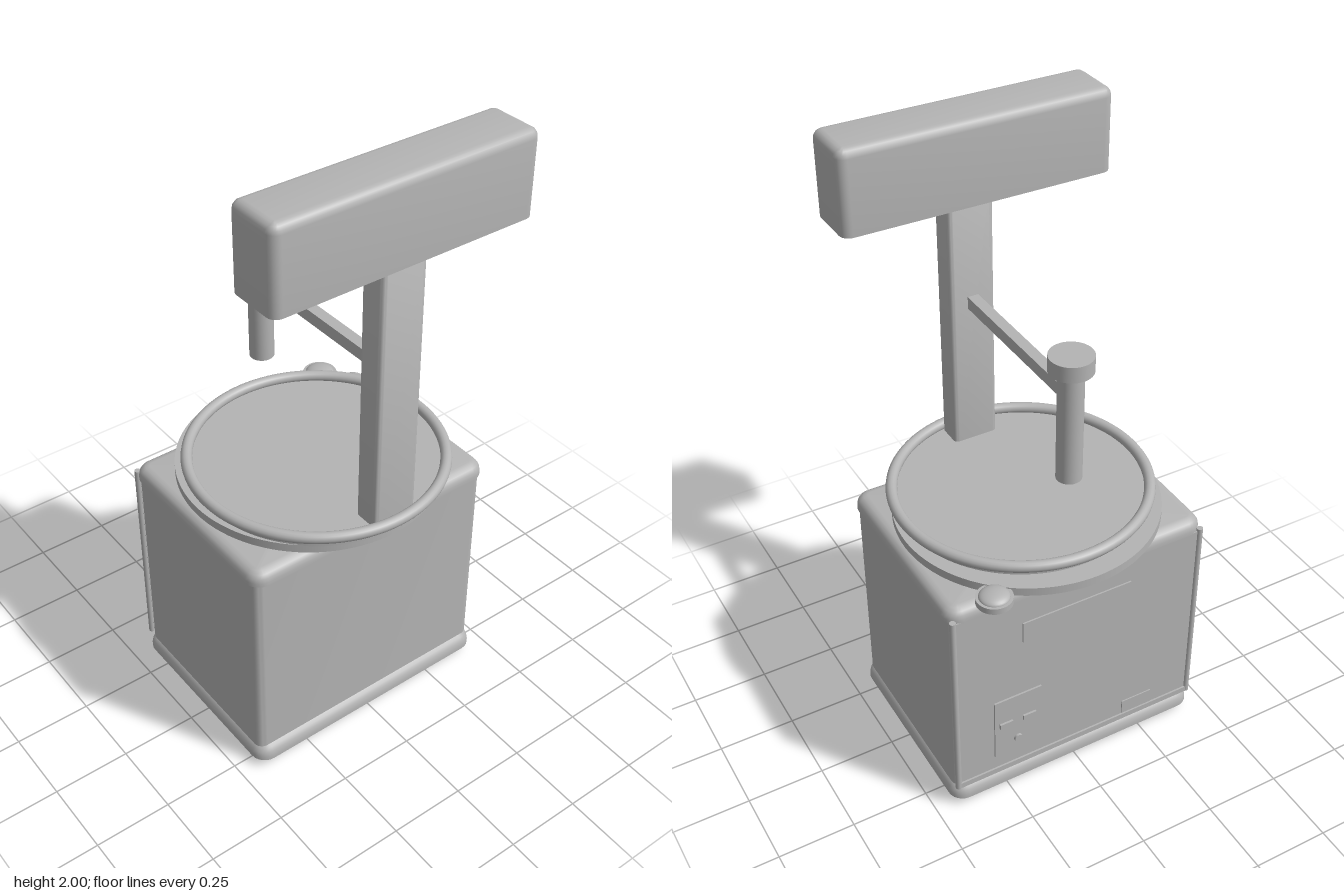
import * as THREE from 'three';
import { toCreasedNormals } from 'three/addons/utils/BufferGeometryUtils.js';

const grey = new THREE.MeshStandardMaterial({ color: 0xb4b4b4 });
grey.name = 'grey enamel';

// Closed solid with a rounded rectangular plan; rings are [y, inset] from bottom to top
function roundedPrism(w, d, r, rings) {
  const steps = 6, pos = [], idx = [];
  const n = 4 * (steps + 1);
  for (const [y, inset] of rings) {
    const rr = Math.max(r - inset, 0.004);
    const hx = w / 2 - inset - rr, hz = d / 2 - inset - rr;
    for (let c = 0; c < 4; c++) {
      const sx = c === 0 || c === 3 ? 1 : -1, sz = c < 2 ? 1 : -1;
      for (let s = 0; s <= steps; s++) {
        const a = (c + s / steps) * Math.PI / 2;
        pos.push(sx * hx + rr * Math.cos(a), y, sz * hz + rr * Math.sin(a));
      }
    }
  }
  for (let j = 0; j < rings.length - 1; j++) {
    for (let i = 0; i < n; i++) {
      const a = j * n + i, b = j * n + (i + 1) % n;
      idx.push(a, a + n, b, b, a + n, b + n);
    }
  }
  const last = (rings.length - 1) * n, c0 = rings.length * n, c1 = c0 + 1;
  pos.push(0, rings[0][0], 0, 0, rings[rings.length - 1][0], 0);
  for (let i = 0; i < n; i++) {
    const k = (i + 1) % n;
    idx.push(c0, i, k, c1, last + k, last + i);
  }
  const g = new THREE.BufferGeometry();
  g.setAttribute('position', new THREE.Float32BufferAttribute(pos, 3));
  g.setIndex(idx);
  return toCreasedNormals(g, 0.6);
}

// Quarter-round shoulder rings ending at height y
function shoulder(y, r) {
  return [0, 1, 2, 3, 4].map((i) => {
    const a = i / 4 * Math.PI / 2;
    return [y - r + r * Math.sin(a), r * (1 - Math.cos(a))];
  });
}

export function createModel() {
  const model = new THREE.Group();
  model.name = 'countertop scale';
  const add = (name, geo, x, y, z, parent = model) => {
    const m = new THREE.Mesh(geo, grey);
    m.name = name;
    m.position.set(x, y, z);
    parent.add(m);
    return m;
  };
  const box = (w, h, d) => new THREE.BoxGeometry(w, h, d);
  const drum = (r, h, seg = 64) => new THREE.CylinderGeometry(r, r, h, seg);

  // Cabinet: flared base, body, rounded lid and foot screw
  add('base', roundedPrism(0.89, 0.675, 0.05,
    [[0.03, 0], [0.045, 0], [0.06, 0.004], [0.072, 0.012], [0.084, 0.026]]), 0, 0, -0.018);
  add('body', roundedPrism(0.87, 0.635, 0.03, [[0.08, 0], [0.78, 0]]), 0, 0, -0.018);
  add('lid', roundedPrism(0.885, 0.66, 0.05, [[0.772, 0], ...shoulder(0.82, 0.035)]), 0, 0, -0.018);
  add('footScrew', new THREE.SphereGeometry(0.03, 24, 16), 0, 0.03, 0.02);

  // Back panel with corner rods, bottom rail and fittings
  const back = new THREE.Group();
  back.name = 'backPanel';
  model.add(back);
  add('panelSheet', box(0.85, 0.69, 0.012), 0, 0.43, -0.341, back);
  add('bottomRail', box(0.85, 0.02, 0.01), 0, 0.095, -0.348, back);
  for (const s of [-1, 1]) add('cornerRod', drum(0.01, 0.7, 16), s * 0.428, 0.435, -0.345, back);
  add('namePlate', box(0.38, 0.075, 0.008), 0.01, 0.643, -0.348, back);
  add('socketPlate', box(0.165, 0.235, 0.01), 0.218, 0.275, -0.348, back);
  for (const x of [0.262, 0.18]) add('socket', box(0.045, 0.018, 0.01), x, 0.29, -0.355, back);
  add('button', drum(0.014, 0.012, 16), 0.22, 0.21, -0.355, back).rotation.x = Math.PI / 2;
  add('smallLabel', box(0.11, 0.052, 0.006), -0.225, 0.135, -0.348, back);

  // Turntable plate, pan and rolled rim
  add('turntablePlate', drum(0.416, 0.028, 96), 0, 0.834, -0.021);
  add('pan', drum(0.388, 0.032, 96), 0, 0.861, 0.016);
  add('panRim', new THREE.TorusGeometry(0.398, 0.018, 16, 96), 0, 0.887, 0.016).rotation.x = Math.PI / 2;

  // Domed level knob at the back corner
  add('levelBase', drum(0.056, 0.02, 32), 0.3, 0.834, -0.361);
  const dome = new THREE.SphereGeometry(0.047, 32, 8, 0, Math.PI * 2, 0, Math.PI / 2);
  dome.scale(1, 0.4, 1);
  add('levelDome', dome, 0.3, 0.843, -0.361);

  // Post and display head
  add('post', roundedPrism(0.15, 0.09, 0.015, [[0.87, 0], ...shoulder(1.742, 0.012)]), 0, 0, 0.351);
  add('displayHead', roundedPrism(0.865, 0.185, 0.03, [[1.74, 0], ...shoulder(2, 0.028)]), 0, 0, 0.321);

  // Arm carrying the capped cylinder
  add('arm', box(0.036, 0.04, 0.55), 0, 1.38, 0.035);
  add('hangingCylinder', drum(0.039, 0.37, 32), 0, 1.28, -0.264);
  add('cylinderCap', drum(0.066, 0.05, 48), 0, 1.485, -0.264);

  return model;
}
